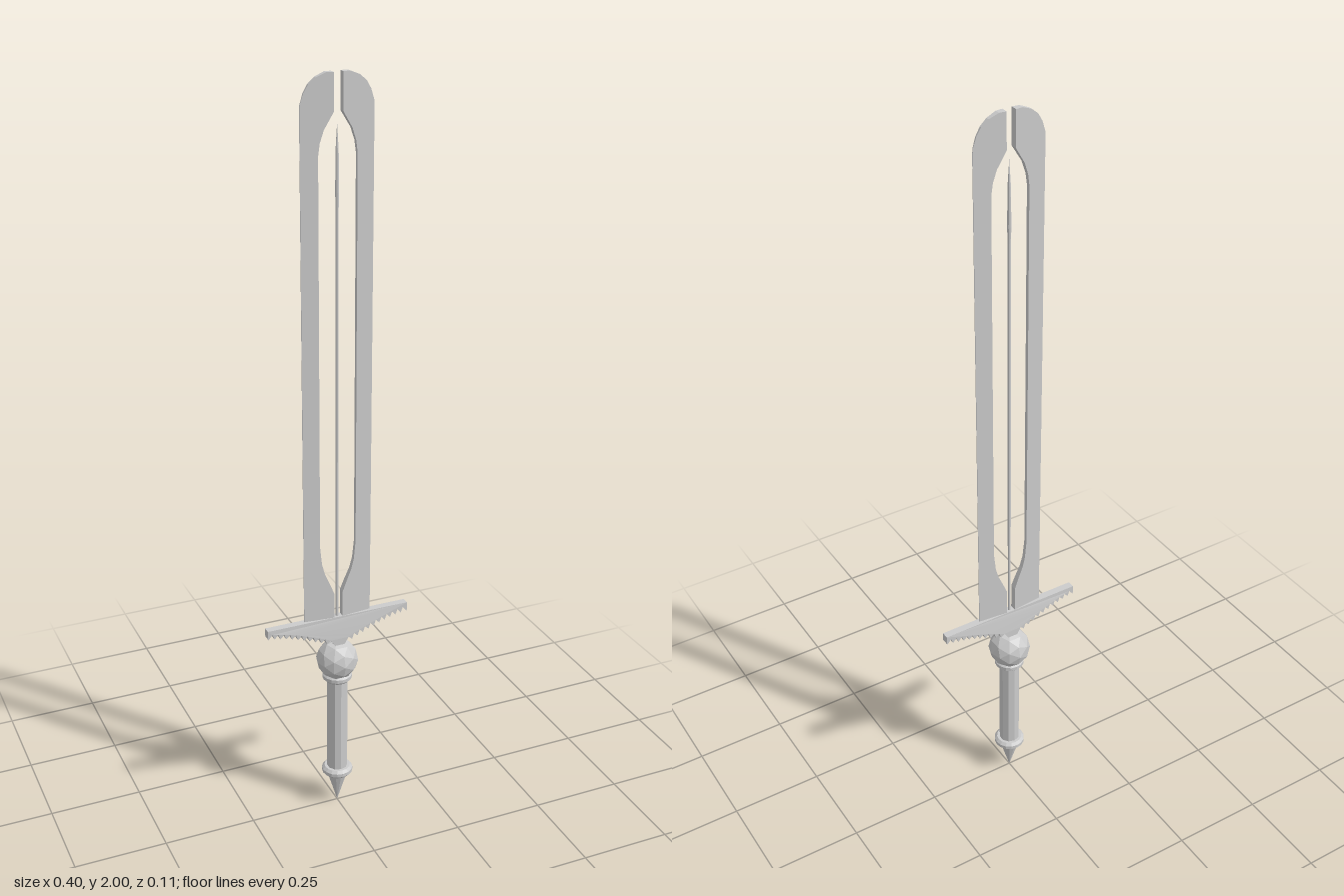
import * as THREE from 'three';

const steel = new THREE.MeshStandardMaterial({ color: 0xcccccc, flatShading: true });

function add(group, name, geometry, y = 0) {
  const mesh = new THREE.Mesh(geometry, steel);
  mesh.name = name;
  mesh.position.y = y;
  group.add(mesh);
  return mesh;
}

// Half thickness of the blade: thick at the inner gap, sharp at the outer edge
const bladeZ = (x) => 0.001 + 0.008 * Math.max(0, 0.094 - x) / 0.082;

// One blade half, lofted through four-cornered sections; side is +1 or -1
function bladeGeometry(side) {
  // height, inner x, outer x
  const rows = [
    [0.58, 0.012, 0.094], [0.66, 0.012, 0.094], [0.69, 0.024, 0.094],
    [0.72, 0.037, 0.094], [0.75, 0.045, 0.094], [0.8, 0.05, 0.094],
    [1.81, 0.05, 0.094], [1.84, 0.046, 0.094], [1.87, 0.036, 0.094],
    [1.91, 0.012, 0.094], [1.93, 0.012, 0.093], [1.955, 0.012, 0.085],
    [1.975, 0.012, 0.073], [1.99, 0.012, 0.055], [2.0, 0.012, 0.03],
  ];
  const pos = [], idx = [];
  for (const [y, a, b] of rows) {
    const za = bladeZ(a), zb = bladeZ(b);
    pos.push(side * a, y, za, side * b, y, zb, side * b, y, -zb, side * a, y, -za);
  }
  const tri = (a, b, c) => (side > 0 ? idx.push(a, b, c) : idx.push(a, c, b));
  const quad = (a, b, c, d) => { tri(a, b, c); tri(a, c, d); };
  for (let r = 0; r < rows.length - 1; r++) {
    for (let k = 0; k < 4; k++) {
      const n = (k + 1) % 4, o = r * 4;
      quad(o + k, o + n, o + 4 + n, o + 4 + k);
    }
  }
  const t = (rows.length - 1) * 4;
  quad(t, t + 1, t + 2, t + 3);
  quad(3, 2, 1, 0);
  const g = new THREE.BufferGeometry();
  g.setAttribute('position', new THREE.Float32BufferAttribute(pos, 3));
  g.setIndex(idx);
  g.computeVertexNormals();
  return g;
}

// Winged guard: flat top, concave saw-toothed underside, thinner towards the tips
function guardGeometry() {
  const teeth = 11;
  const under = (x) => 0.571 - 0.063 * Math.pow(1 - x / 0.2, 1.5);
  const right = [[0.2, 0.588], [0.2, 0.565]];
  for (let i = teeth; i > 0; i--) {
    const x = 0.02 + 0.178 * i / teeth, step = 0.178 / teeth;
    right.push([x, under(x) - 0.008], [x - step * 0.65, under(x - step * 0.65) + 0.006]);
  }
  right.push([0.014, 0.507]);
  const left = right.map(([x, y]) => [-x, y]).reverse();
  const shape = new THREE.Shape([...right, ...left].map(([x, y]) => new THREE.Vector2(x, y)));
  const g = new THREE.ExtrudeGeometry(shape, { depth: 2, bevelEnabled: false });
  g.translate(0, 0, -1);
  const p = g.attributes.position;
  for (let i = 0; i < p.count; i++) {
    const half = 0.019 - 0.009 * Math.abs(p.getX(i)) / 0.2;
    p.setZ(i, p.getZ(i) * half);
  }
  g.computeVertexNormals();
  return g;
}

// Rounded ring around the grip
function ringGeometry(radius, half) {
  const profile = [[0.02, -half], [radius - 0.007, -half], [radius, -half * 0.4],
    [radius, half * 0.4], [radius - 0.007, half], [0.02, half]];
  return new THREE.LatheGeometry(profile.map(([x, y]) => new THREE.Vector2(x, y)), 16);
}

export function createModel() {
  const sword = new THREE.Group();
  sword.name = 'sword';

  // Split blade with a thin needle in the gap
  add(sword, 'leftBlade', bladeGeometry(1));
  add(sword, 'rightBlade', bladeGeometry(-1));
  const needle = [[0.004, 0.55], [0.004, 1.68], [0.005, 1.72], [0.004, 1.82], [0, 1.885]];
  add(sword, 'needle', new THREE.LatheGeometry(needle.map(([x, y]) => new THREE.Vector2(x, y)), 8));

  // Guard and faceted ball
  add(sword, 'guard', guardGeometry());
  add(sword, 'ball', new THREE.IcosahedronGeometry(0.057, 1), 0.456);

  // Grip, rings and pointed pommel
  add(sword, 'upperRing', ringGeometry(0.04, 0.012), 0.405);
  add(sword, 'grip', new THREE.CylinderGeometry(0.028, 0.028, 0.3, 10), 0.255);
  add(sword, 'lowerRing', ringGeometry(0.042, 0.012), 0.105);
  add(sword, 'pommelSpike', new THREE.ConeGeometry(0.03, 0.1, 12).rotateX(Math.PI), 0.05);

  return sword;
}
